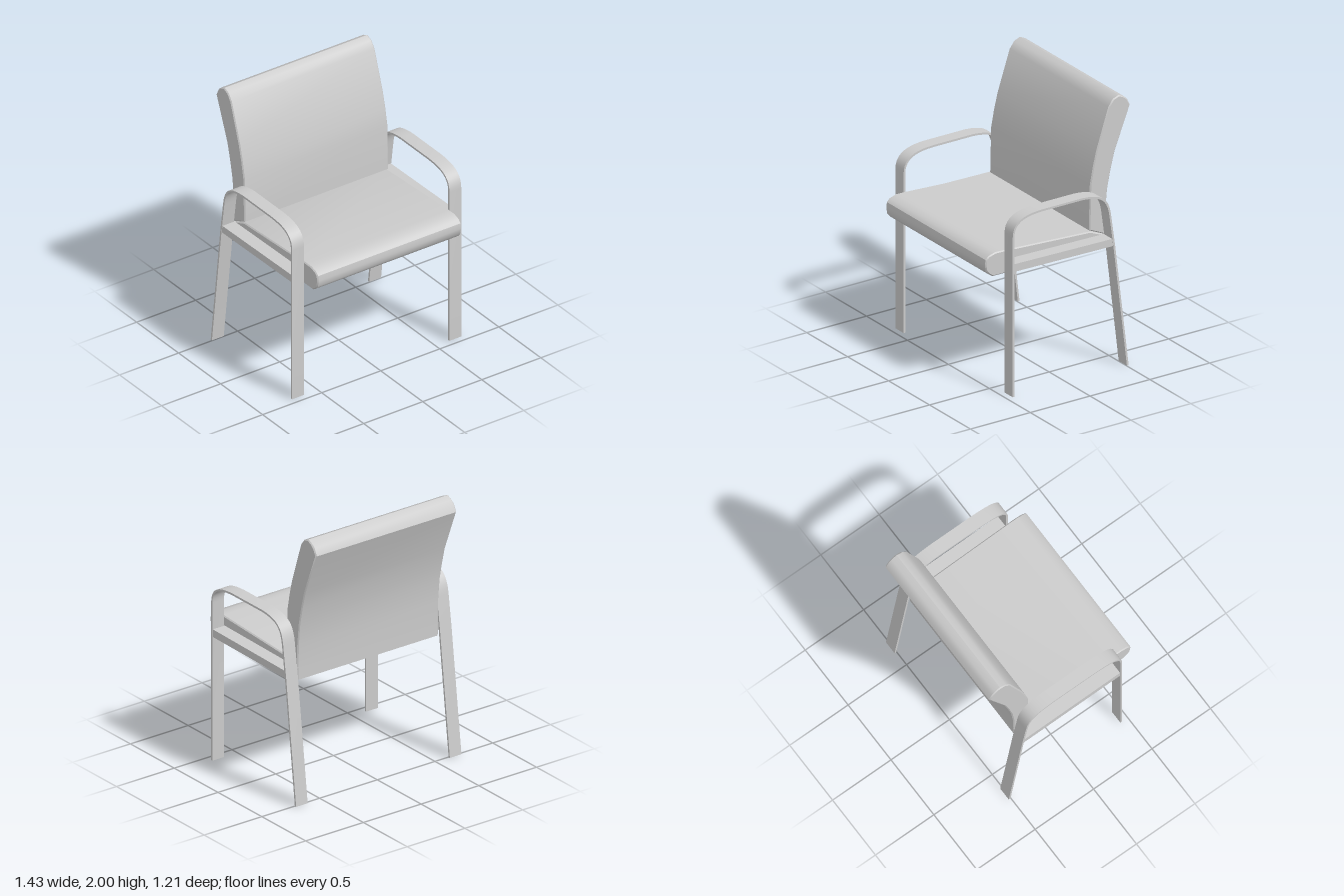
import * as THREE from 'three';
import { toCreasedNormals } from 'three/addons/utils/BufferGeometryUtils.js';

const material = new THREE.MeshStandardMaterial({ color: 0xcccccc });
const v = (z, y) => new THREE.Vector2(z, y);

// Extrude a side profile of (z, y) points across x, centred on x = 0
function sideExtrude(points, width, bevel = 0) {
  const geometry = new THREE.ExtrudeGeometry(new THREE.Shape(points), {
    depth: width - 2 * bevel, bevelEnabled: bevel > 0, bevelThickness: bevel,
    bevelSize: bevel, bevelOffset: -bevel, bevelSegments: 1,
  });
  geometry.translate(0, 0, -width / 2 + bevel);
  geometry.rotateY(-Math.PI / 2);
  return toCreasedNormals(geometry, 0.6);
}

function addPart(parent, name, geometry, x = 0) {
  const mesh = new THREE.Mesh(geometry, material);
  mesh.name = name;
  mesh.position.x = x;
  parent.add(mesh);
}

// Closed outline of a flat band following a centre line
function bandOutline(thickness) {
  const path = new THREE.CurvePath();
  path.add(new THREE.LineCurve(v(0.445, 0), v(0.445, 1.2)));
  path.add(new THREE.CubicBezierCurve(v(0.445, 1.2), v(0.445, 1.31), v(0.36, 1.345), v(0.2, 1.348)));
  path.add(new THREE.LineCurve(v(0.2, 1.348), v(-0.13, 1.348)));
  path.add(new THREE.CubicBezierCurve(v(-0.13, 1.348), v(-0.29, 1.338), v(-0.345, 1.3), v(-0.363, 1.17)));
  path.add(new THREE.LineCurve(v(-0.363, 1.17), v(-0.397, 0.93)));
  path.add(new THREE.LineCurve(v(-0.397, 0.93), v(-0.51, 0)));
  const line = path.getPoints(10);
  const offset = (side) => line.map((p, i) => {
    const t = line[Math.min(i + 1, line.length - 1)].clone()
      .sub(line[Math.max(i - 1, 0)]).normalize();
    return v(p.x - t.y * side, Math.max(0, p.y + t.x * side));
  });
  return [...offset(thickness / 2), ...offset(-thickness / 2).reverse()];
}

export function createModel() {
  const chair = new THREE.Group();
  chair.name = 'armchair';

  // Seat cushion with a rounded front edge
  addPart(chair, 'seat', sideExtrude([
    v(-0.395, 0.89), v(0.545, 0.895), v(0.575, 0.915), v(0.6, 0.945), v(0.607, 0.99),
    v(0.602, 1.03), v(0.58, 1.053), v(0.525, 1.07), v(0.46, 1.069),
    v(-0.27, 1.03), v(-0.395, 0.98),
  ], 1.22, 0.008));

  // Curved backrest leaning to the rear
  addPart(chair, 'backrest', sideExtrude([
    v(-0.395, 0.98), v(-0.262, 1.04), v(-0.27, 1.38), v(-0.295, 1.51), v(-0.325, 1.63),
    v(-0.425, 1.93), v(-0.462, 1.98), v(-0.51, 2), v(-0.553, 1.98), v(-0.58, 1.955),
    v(-0.604, 1.905), v(-0.475, 1.58), v(-0.442, 1.45), v(-0.415, 1.32), v(-0.398, 1.15),
  ], 1.22, 0.008));

  // Bent bands forming legs and armrests, with rails joining them to the seat
  const band = sideExtrude(bandOutline(0.015), 0.1);
  const rail = sideExtrude([
    v(-0.388, 0.93), v(0.44, 0.94), v(0.44, 0.998), v(-0.388, 0.985),
  ], 0.11);
  for (const [name, side] of [['left', 1], ['right', -1]]) {
    const frame = new THREE.Group();
    frame.name = name + 'Frame';
    addPart(frame, name + 'LegsAndArmrest', band, side * 0.666);
    addPart(frame, name + 'SideRail', rail, side * 0.658);
    chair.add(frame);
  }
  return chair;
}
